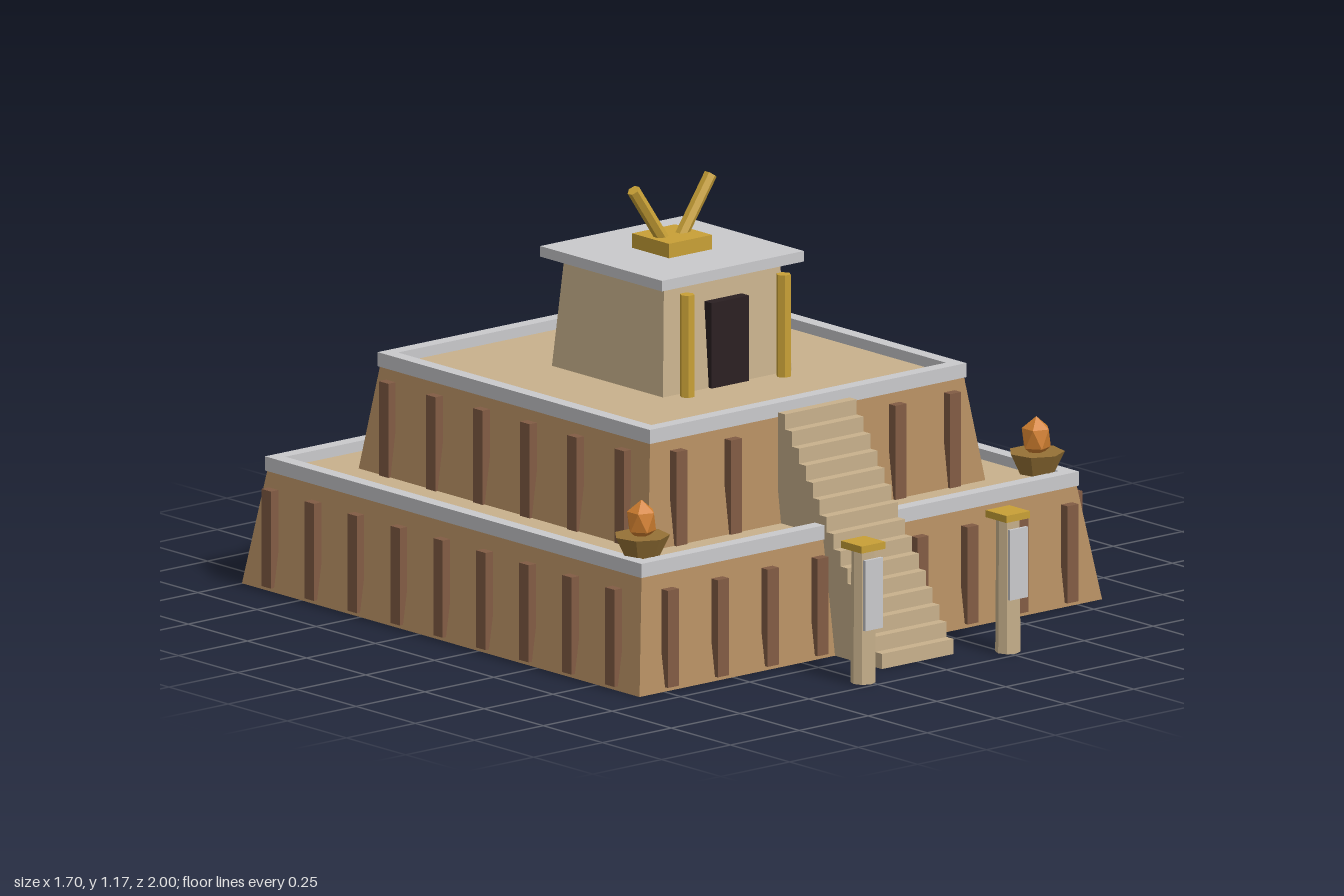
import * as THREE from 'three';

const mat = (name, color) => {
  const m = new THREE.MeshStandardMaterial({ color });
  m.name = name;
  return m;
};

// Faceted normals for low-poly solids
const facet = (geo) => {
  const g = geo.index ? geo.toNonIndexed() : geo;
  g.computeVertexNormals();
  return g;
};

// Square block with sloping sides, given its half widths
const slopedBlock = (bottom, top, height) =>
  facet(new THREE.CylinderGeometry(top * Math.SQRT2, bottom * Math.SQRT2, height, 4).rotateY(Math.PI / 4));

// Square ring lying flat, standing on y = 0
const squareRing = (outer, inner, height) => {
  const square = (C, h) => {
    const p = new C();
    p.moveTo(-h, -h); p.lineTo(h, -h); p.lineTo(h, h); p.lineTo(-h, h); p.closePath();
    return p;
  };
  const shape = square(THREE.Shape, outer);
  shape.holes.push(square(THREE.Path, inner));
  return new THREE.ExtrudeGeometry(shape, { depth: height, bevelEnabled: false }).rotateX(-Math.PI / 2);
};

export function createModel() {
  const brick = mat('mudBrick', 0xb28c60);
  const sand = mat('sandstone', 0xc8b18c);
  const stone = mat('paleStone', 0xc9c9cc);
  const wood = mat('darkWood', 0x825c44);
  const gold = mat('gold', 0xc8a036);
  const dark = mat('doorDark', 0x2b2022);
  const bronze = mat('bronze', 0x967236);
  const amber = mat('amberCrystal', 0xd28030);

  const model = new THREE.Group();
  const temple = new THREE.Group();
  temple.name = 'temple';
  temple.position.z = -0.16;
  model.add(temple);

  const add = (parent, name, geo, material, x = 0, y = 0, z = 0) => {
    const m = new THREE.Mesh(geo, material);
    m.name = name;
    m.position.set(x, y, z);
    parent.add(m);
    return m;
  };
  const box = (w, h, d) => new THREE.BoxGeometry(w, h, d);

  // Two terraces: sloping walls, recessed floor, parapet and pilasters
  const terraces = [
    { name: 'lowerTerrace', y: 0, h: 0.325, bottom: 0.84, top: 0.79, rim: 0.795, out: 0.85,
      postY: 0.15, postH: 0.276, offsets: [-4, -3, -2, -1, 0, 1, 2, 3, 4].map((i) => i * 0.1815) },
    { name: 'upperTerrace', y: 0.325, h: 0.302, bottom: 0.613, top: 0.57, rim: 0.575, out: 0.62,
      postY: 0.465, postH: 0.27, offsets: [-2.5, -1.5, -0.5, 0.5, 1.5, 2.5].map((i) => i * 0.199) },
  ];
  for (const t of terraces) {
    const g = new THREE.Group();
    g.name = t.name;
    temple.add(g);
    const topY = t.y + t.h;
    add(g, 'walls', slopedBlock(t.bottom, t.top, t.h), brick, 0, t.y + t.h / 2);
    add(g, 'floor', box(t.rim * 2 - 0.06, 0.009, t.rim * 2 - 0.06), sand, 0, topY + 0.003);
    add(g, 'parapet', squareRing(t.rim, t.rim - 0.04, 0.04), stone, 0, topY - 0.003);
    const post = box(0.04, t.postH, 0.027);
    const edge = t.out - 0.0135;
    for (const o of t.offsets) {
      for (const s of [-1, 1]) {
        add(g, 'sidePilaster', post, wood, s * edge, t.postY, o).rotation.y = Math.PI / 2;
      }
      // Leave room for the staircase
      if (Math.abs(o) > 0.13) add(g, 'frontPilaster', post, wood, o, t.postY, edge);
    }
  }

  // Shrine with door, columns and roof
  const shrine = new THREE.Group();
  shrine.name = 'shrine';
  temple.add(shrine);
  add(shrine, 'shrineWalls', slopedBlock(0.235, 0.21, 0.32), sand, 0, 0.788);
  add(shrine, 'shrineRoof', box(0.515, 0.03, 0.515), stone, 0, 0.959);
  add(shrine, 'door', box(0.136, 0.25, 0.04), dark, 0, 0.752, 0.227);
  const column = facet(new THREE.CylinderGeometry(0.021, 0.021, 0.295, 6).rotateY(Math.PI / 6));

  // Roof ornament: plinth and two slanting horns
  add(shrine, 'ornamentPlinth', box(0.156, 0.041, 0.156), gold, 0, 0.9945);
  const horn = facet(new THREE.CylinderGeometry(0.0185, 0.0185, 0.2, 6));
  for (const s of [-1, 1]) {
    add(shrine, 'shrineColumn', column, gold, s * 0.175, 0.777, 0.268);
    add(shrine, 'horn', horn, gold, s * 0.084, 1.08).rotation.z = -s * 0.6;
  }

  // Solid staircase
  const steps = 15, zFront = 0.878, zBack = 0.44, rise = 0.645 / steps, run = (zFront - zBack) / steps;
  const profile = new THREE.Shape();
  profile.moveTo(zBack, 0);
  profile.lineTo(zFront, 0);
  for (let i = 0; i < steps; i++) {
    profile.lineTo(zFront - i * run, (i + 1) * rise);
    profile.lineTo(zFront - (i + 1) * run, (i + 1) * rise);
  }
  profile.closePath();
  const stairs = new THREE.ExtrudeGeometry(profile, { depth: 0.26, bevelEnabled: false }).rotateY(-Math.PI / 2);
  add(model, 'staircase', stairs, sand, 0.13);

  // Banner posts and corner braziers, mirrored
  const shaft = facet(new THREE.CylinderGeometry(0.032, 0.035, 0.382, 8));
  const bowl = facet(new THREE.CylinderGeometry(0.079, 0.05, 0.06, 7));
  const crystal = facet(new THREE.IcosahedronGeometry(0.045).rotateZ(-0.5536).scale(1, 1.33, 1));
  for (const s of [-1, 1]) {
    const post = new THREE.Group();
    post.name = 'bannerPost';
    post.position.set(s * 0.263, 0, 0.953);
    model.add(post);
    add(post, 'shaft', shaft, sand, 0, 0.191);
    add(post, 'cap', box(0.086, 0.02, 0.088), gold, 0, 0.39);
    add(post, 'banner', box(0.064, 0.2, 0.009), stone, 0, 0.258, 0.0425);

    const brazier = new THREE.Group();
    brazier.name = 'brazier';
    brazier.position.set(s * 0.717, 0, 0.545);
    model.add(brazier);
    add(brazier, 'bowl', bowl, bronze, 0, 0.385);
    add(brazier, 'crystal', crystal, amber, 0, 0.455);
  }
  return model;
}
